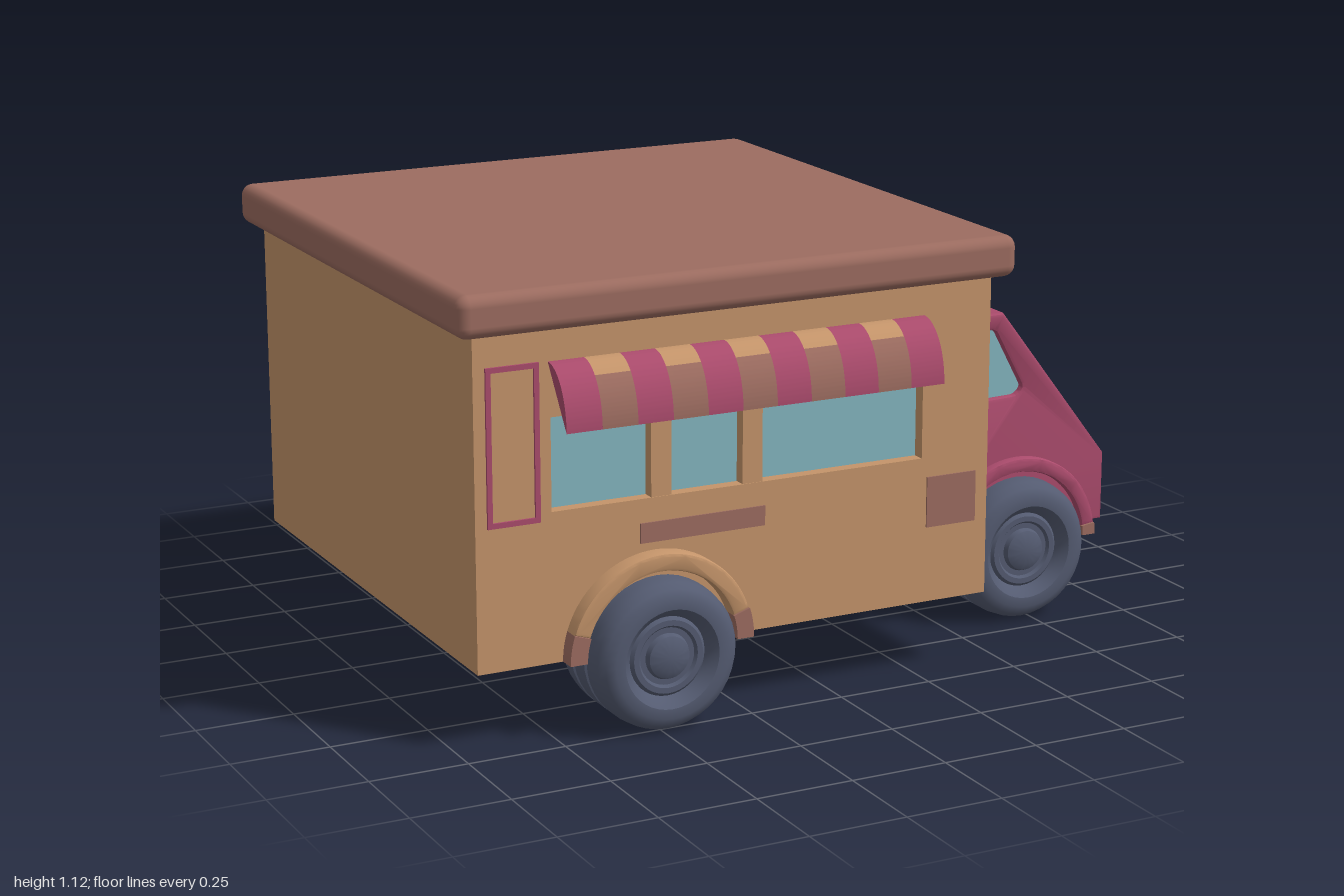
import * as THREE from 'three';
import { toCreasedNormals } from 'three/addons/utils/BufferGeometryUtils.js';
import { RoundedBoxGeometry } from 'three/addons/geometries/RoundedBoxGeometry.js';

const paint = (name, color) => {
  const m = new THREE.MeshStandardMaterial({ color });
  m.name = name;
  return m;
};

// closed outline from [x, y] pairs
const outline = (pts) => new THREE.Shape(pts.map(([x, y]) => new THREE.Vector2(x, y)));
const rect = (x0, x1, y0, y1) => outline([[x0, y0], [x1, y0], [x1, y1], [x0, y1]]);

// rectangle or polygon with softened corners
function softOutline(pts, r) {
  const s = new THREE.Shape();
  const v = pts.map(([x, y]) => new THREE.Vector2(x, y));
  v.forEach((p, i) => {
    const prev = v[(i + v.length - 1) % v.length], next = v[(i + 1) % v.length];
    const a = p.clone().add(prev.clone().sub(p).setLength(r));
    const b = p.clone().add(next.clone().sub(p).setLength(r));
    if (i === 0) s.moveTo(a.x, a.y); else s.lineTo(a.x, a.y);
    s.quadraticCurveTo(p.x, p.y, b.x, b.y);
  });
  s.closePath();
  return s;
}

// extrude a shape from z0 to z1, with an optional softened edge
function slab(shape, z0, z1, bevel = 0) {
  const g = new THREE.ExtrudeGeometry(shape, {
    depth: z1 - z0 - 2 * bevel, curveSegments: 20, bevelEnabled: bevel > 0,
    bevelSize: bevel, bevelThickness: bevel, bevelOffset: -bevel, bevelSegments: 2,
  });
  return toCreasedNormals(g.translate(0, 0, z0 + bevel), 0.6);
}

export function createModel() {
  const truck = new THREE.Group();
  truck.name = 'foodTruck';
  const tan = paint('tan', 0xc4946a);
  const brown = paint('brown', 0x9c6c60);
  const berry = paint('berry', 0xaa4b6c);
  const glass = paint('glass', 0x84b5bf);
  const rubber = paint('rubber', 0x545b71);

  const add = (name, geo, mat, parent = truck) => {
    const m = new THREE.Mesh(geo, mat);
    m.name = name;
    parent.add(m);
    return m;
  };
  const box = (name, x0, x1, y0, y1, z0, z1, mat) =>
    add(name, new THREE.BoxGeometry(x1 - x0, y1 - y0, z1 - z0)
      .translate((x0 + x1) / 2, (y0 + y1) / 2, (z0 + z1) / 2), mat);

  // kitchen body with a recessed serving window
  box('body', -0.95, 0.44, 0.195, 1.03, -0.7, 0.66, tan);
  const wall = rect(-0.95, 0.44, 0.195, 1.03);
  wall.holes.push(rect(-0.755, 0.25, 0.57, 0.8));
  add('servingWall', slab(wall, 0.66, 0.697), tan);
  box('servingGlass', -0.755, 0.25, 0.57, 0.8, 0.66, 0.664, glass);
  for (const x of [-0.467, -0.222]) box('windowPost', x - 0.027, x + 0.027, 0.57, 0.8, 0.66, 0.695, tan);

  // roof
  add('roof', new RoundedBoxGeometry(1.49, 0.105, 1.492, 3, 0.03).translate(-0.255, 1.0675, -0.002), brown);

  // painted wall details
  box('brownStripe', -0.525, -0.19, 0.46, 0.51, 0.697, 0.701, brown);
  box('brownPanel', 0.265, 0.405, 0.39, 0.52, 0.697, 0.701, brown);
  const door = rect(-0.92, -0.785, 0.55, 0.937);
  door.holes.push(rect(-0.907, -0.798, 0.563, 0.924));
  add('doorOutline', slab(door, 0.697, 0.703), berry);

  // striped awning, quarter-round in section
  const awning = new THREE.Group();
  awning.name = 'awning';
  truck.add(awning);
  const stripes = 11, stripeWidth = 1.01 / stripes, split = 0.93;
  const wedge = (a0, a1, right) => {
    const s = new THREE.Shape();
    s.moveTo(0, 0);
    s.absellipse(0, 0, 0.102, 0.15, a0, a1, false, 0);
    s.closePath();
    return slab(s, 0, stripeWidth).rotateY(-Math.PI / 2).translate(right, 0.785, 0.696);
  };
  for (let i = 0; i < stripes; i++) {
    const right = -0.76 + (i + 1) * stripeWidth;
    if (i % 2 === 0) add('berryStripe', wedge(0, Math.PI / 2, right), berry, awning);
    else {
      add('stripeDrop', wedge(0, split, right), brown, awning);
      add('stripeTop', wedge(split, Math.PI / 2, right), tan, awning);
    }
  }

  // cab core, notched to take the sloping front panel
  const core = outline([[0.44, 0.225], [1, 0.225], [1, 0.41], [0.9873, 0.4002],
    [0.6673, 0.8152], [0.68, 0.825], [0.44, 0.825]]);
  add('cabCore', slab(core, -0.36, 0.36), berry);

  // cab sides with window openings
  const windowPts = [[0.49, 0.593], [0.722, 0.6], [0.742, 0.62], [0.655, 0.782], [0.49, 0.782]];
  for (const side of [1, -1]) {
    const panel = outline([[0.44, 0.225], [1, 0.225], [1, 0.41], [0.68, 0.825], [0.44, 0.825]]);
    panel.holes.push(softOutline(windowPts, 0.013));
    const z0 = side > 0 ? 0.34 : -0.383;
    add('cabSide', slab(panel, z0, z0 + 0.043, 0.01), berry);
    const zg = side > 0 ? 0.36 : -0.364;
    add('sideWindow', slab(outline(windowPts), zg, zg + 0.004), glass);
  }

  // sloping front with windscreen
  const slope = new THREE.Group();
  slope.name = 'windscreenPanel';
  const up = new THREE.Vector3(-0.32, 0.415, 0).normalize();
  const across = new THREE.Vector3(0, 0, -1);
  slope.quaternion.setFromRotationMatrix(
    new THREE.Matrix4().makeBasis(across, up, across.clone().cross(up)));
  slope.position.set(1, 0.41, 0);
  truck.add(slope);
  const front = rect(-0.36, 0.36, 0, 0.524);
  front.holes.push(softOutline([[-0.333, 0.257], [0.333, 0.257], [0.333, 0.458], [-0.333, 0.458]], 0.02));
  add('cabFront', slab(front, -0.016, 0), berry, slope);
  add('windscreen', slab(rect(-0.335, 0.335, 0.255, 0.46), -0.016, -0.012), glass, slope);

  // wheel profile: dished hub, rounded shoulder and two tread grooves
  const half = [[0, 0.122], [0.035, 0.122], [0.053, 0.113], [0.058, 0.1], [0.072, 0.1], [0.078, 0.108],
    [0.092, 0.108], [0.1, 0.1], [0.108, 0.115], [0.125, 0.131], [0.15, 0.1325], [0.172, 0.12],
    [0.184, 0.1], [0.188, 0.07], [0.188, 0.046], [0.179, 0.042], [0.179, 0.034], [0.188, 0.03]];
  const profile = [...half.map(([r, y]) => [r, -y]), ...half.slice().reverse()]
    .map(([r, y]) => new THREE.Vector2(r, y));
  const wheelGeo = toCreasedNormals(new THREE.LatheGeometry(profile, 40).rotateX(Math.PI / 2), 0.6);

  // arch over a wheel between two angles
  const arch = (r0, r1, a0, a1, z0, z1, bevel = 0) => {
    const s = new THREE.Shape();
    s.absarc(0, 0, r1, a0, a1, false);
    s.absarc(0, 0, r0, a1, a0, true);
    s.closePath();
    return slab(s, z0, z1, bevel);
  };

  const axles = [
    { name: 'rear', x: -0.485, z: 0.66, r: 0.245, z0: 0.6, z1: 0.741, low: 0.31, mat: tan },
    { name: 'front', x: 0.725, z: 0.325, r: 0.238, z0: 0.345, z1: 0.407, low: 0.13, mat: berry },
  ];
  for (const a of axles) for (const side of [1, -1]) {
    add(a.name + 'Wheel', wheelGeo, rubber).position.set(a.x, 0.19, side * a.z);
    const z0 = side > 0 ? a.z0 : -a.z1, z1 = side > 0 ? a.z1 : -a.z0;
    const fender = new THREE.Group();
    fender.name = a.name + 'Fender';
    fender.position.set(a.x, 0.195, 0);
    truck.add(fender);
    add('fenderArch', arch(0.2, a.r, a.low, Math.PI - a.low, z0, z1, 0.008), a.mat, fender);
    add('fenderTip', arch(0.2, a.r, 0, a.low, z0, z1), brown, fender);
    add('fenderTip', arch(0.2, a.r, Math.PI - a.low, Math.PI, z0, z1), brown, fender);
  }
  return truck;
}
